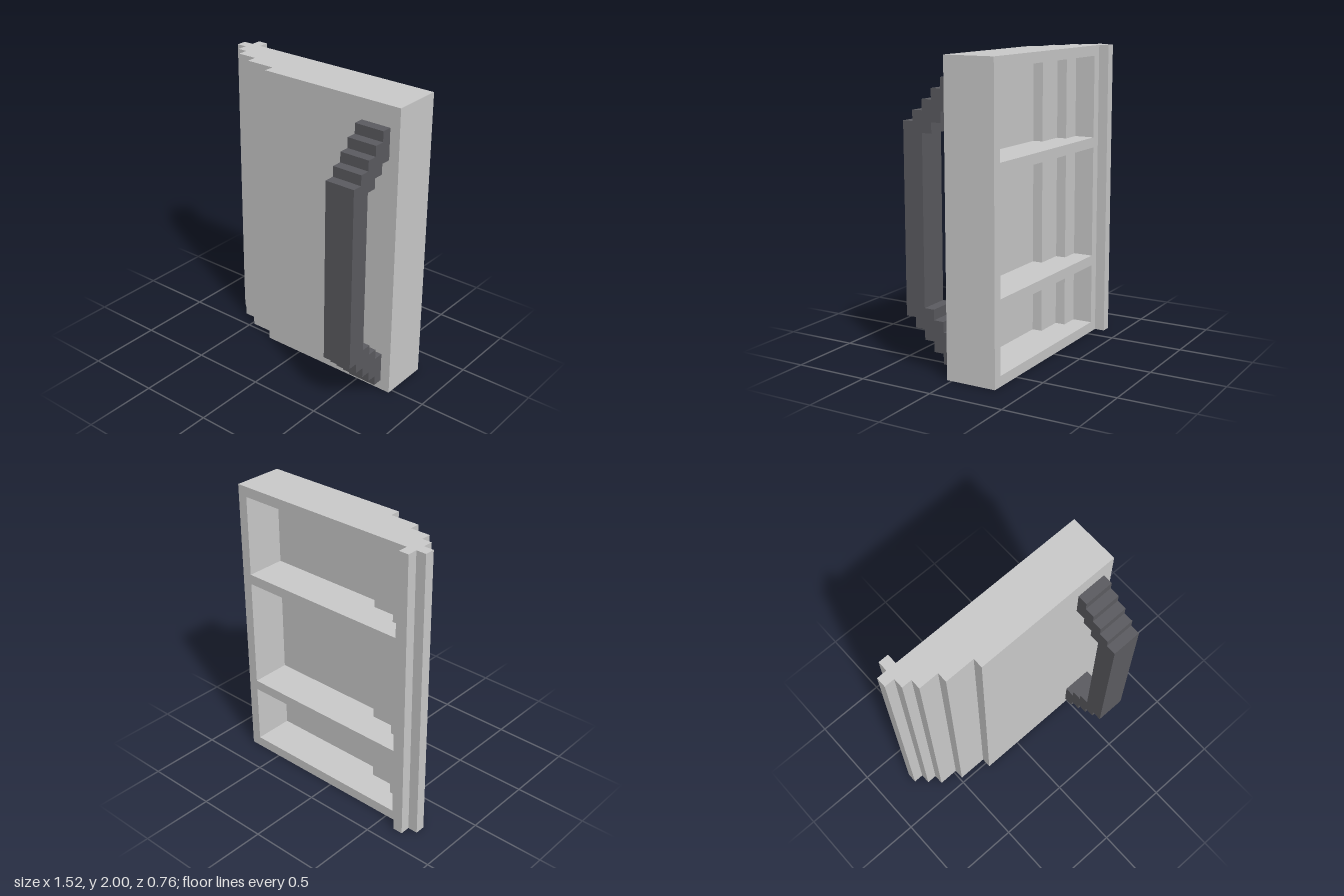
import * as THREE from 'three';

const U = 2 / 29; // one block unit; the door is 29 blocks tall

const grey = new THREE.MeshStandardMaterial({ color: 0xcccccc, flatShading: true });
const dark = new THREE.MeshStandardMaterial({ color: 0x5c5c61, flatShading: true });

function extrude(points, depth) {
  const shape = new THREE.Shape(points.map(([a, b]) => new THREE.Vector2(a * U, b * U)));
  return new THREE.ExtrudeGeometry(shape, { depth: depth * U, bevelEnabled: false });
}

// Plan outline given as [x, z], raised from y0 to y1
function upright(name, plan, y0, y1) {
  const geo = extrude(plan.map(([x, z]) => [x, -z]), y1 - y0);
  geo.rotateX(-Math.PI / 2).translate(0, y0 * U, 0);
  const mesh = new THREE.Mesh(geo, grey);
  mesh.name = name;
  return mesh;
}

export function createModel() {
  const model = new THREE.Group();
  model.name = 'door';

  // Stepped inner wall of the storage recess, from the hinge side to the handle side
  const inner = [[-8, -4.5], [-8, -2.5], [-6, -2.5], [-6, -1.5],
    [-3, -1.5], [-3, -0.5], [10, -0.5], [10, -4.5]];

  // Door shell: stepped front corner, hinge tab at the back, open recess
  const outer = [[11, -4.5], [11, 0.5], [-4, 0.5], [-4, -0.5], [-7, -0.5], [-7, -1.5],
    [-9, -1.5], [-9, -2.5], [-10, -2.5], [-10, -3.5], [-11, -3.5], [-11, -4.5],
    [-10, -4.5], [-10, -5.5], [-9, -5.5], [-9, -4.5]];
  model.add(upright('doorShell', [...outer, ...inner], 0, 29));

  // Bottom rim, two shelves and top rim fill the recess, one block thick each
  const plates = { bottomRim: 0, lowerShelf: 7, upperShelf: 19, topRim: 28 };
  for (const [name, y] of Object.entries(plates)) {
    model.add(upright(name, inner, y, y + 1));
  }

  // Handle: stair-stepped bracket in [z, y], mirrored about its middle height
  const outside = [], inside = [];
  for (let i = 0; i < 5; i++) {
    outside.push([0.5 + i, 1 + i], [1.5 + i, 1 + i]);
    if (i < 3) inside.push([0.5 + i, 4 + i], [1.5 + i, 4 + i]);
  }
  const mirror = (pts) => pts.map(([z, y]) => [z, 28 - y]).reverse();
  const profile = [...outside, ...mirror(outside), ...mirror(inside).reverse(), ...inside.reverse()];
  const handleGeo = extrude(profile, 3).rotateY(-Math.PI / 2).translate(10 * U, 0, 0);
  const handle = new THREE.Mesh(handleGeo, dark);
  handle.name = 'handle';
  model.add(handle);

  return model;
}
